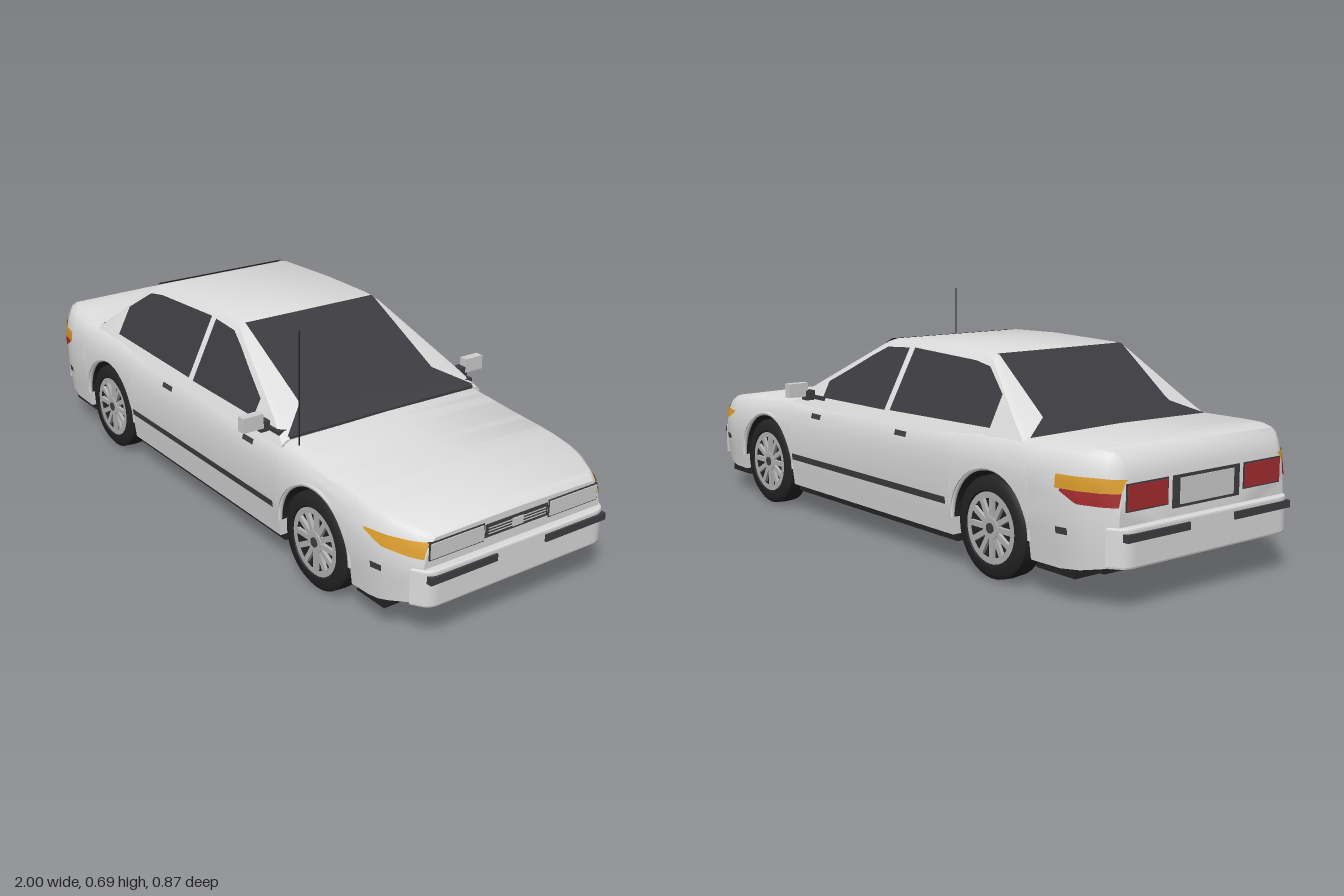
import * as THREE from 'three';
import { toCreasedNormals } from 'three/addons/utils/BufferGeometryUtils.js';

const mat = (name, color) => new THREE.MeshStandardMaterial({ name, color, side: THREE.DoubleSide });
const paint = mat('body paint', 0xdcdcdc), glass = mat('dark glass', 0x3c3b40), rubber = mat('black rubber', 0x242426);
const trim = mat('dark trim', 0x3f3f43), amber = mat('amber lens', 0xd99c2b), red = mat('red lens', 0xa62c30);
const alloy = mat('alloy', 0xb4b4b4), lens = mat('clear lens', 0xcfcfcf);

// Piecewise linear curve through [input, value] pairs
const curve = (pts) => (v) => {
  if (v <= pts[0][0]) return pts[0][1];
  for (let i = 1; i < pts.length; i++) {
    const [a, p] = pts[i - 1], [b, q] = pts[i];
    if (v <= b) return p + (q - p) * (v - a) / (b - a);
  }
  return pts[pts.length - 1][1];
};

// Body shape rules: top line, sill line, plan taper, shoulder and sill tuck
const topPts = [[-0.972, 0.33], [-0.96, 0.37], [-0.94, 0.39], [-0.9, 0.395], [-0.65, 0.392], [0, 0.382], [0.43, 0.37],
  [0.6, 0.354], [0.75, 0.344], [0.85, 0.33], [0.93, 0.312], [0.96, 0.303], [0.972, 0.292]];
const planPts = [[-0.972, 0.82], [-0.94, 0.89], [-0.88, 0.96], [-0.82, 0.99], [-0.7, 1], [0.7, 1], [0.82, 0.985],
  [0.88, 0.95], [0.94, 0.88], [0.972, 0.82]];
const top = curve(topPts), plan = curve(planPts);
const sill = curve([[-0.972, 0.115], [-0.85, 0.09], [0.85, 0.09], [0.972, 0.12]]);
const shoulder = curve([[0, 0.045], [0.01, 0.028], [0.035, 0.013], [0.07, 0.003], [0.11, 0]]);
const tuck = curve([[0.085, 0.014], [0.2, 0]]);
const sideZ = (x, y) => plan(x) * (0.376 - shoulder(top(x) - y) - tuck(y));

const wheelX = [-0.555, 0.595], axleY = 0.14, archR = 0.16;
function lowerEdge(x) {
  for (const c of wheelX) {
    const d = Math.abs(x - c);
    if (d <= archR + 1e-6) return axleY + Math.sqrt(Math.max(0, archR * archR - d * d));
  }
  return sill(x);
}

// Skin over cross-sections: each half ring is [z, y] from bottom centre to top centre
function loft(xs, half) {
  const pos = [], idx = [];
  let n = 0;
  for (const x of xs) {
    const h = half(x), ring = [...h, ...h.slice(1, -1).reverse().map(([z, y]) => [-z, y]), h[0]];
    n = ring.length;
    ring.forEach(([z, y]) => pos.push(x, y, z));
  }
  for (let i = 0; i < xs.length - 1; i++) for (let j = 0; j < n - 1; j++) {
    const a = i * n + j, b = a + n;
    idx.push(a, b, b + 1, a, b + 1, a + 1);
  }
  const last = (xs.length - 1) * n;
  for (let j = 1; j < n - 2; j++) idx.push(0, j, j + 1, last, last + j + 1, last + j);
  const g = new THREE.BufferGeometry();
  g.setAttribute('position', new THREE.Float32BufferAttribute(pos, 3));
  g.setIndex(idx);
  return toCreasedNormals(g, 0.6);
}

export function createModel() {
  const car = new THREE.Group();
  car.name = 'sedan';
  const add = (name, geo, material, parent = car) => {
    const m = new THREE.Mesh(geo, material);
    m.name = name;
    parent.add(m);
    return m;
  };
  // Box given by its limits
  const box = (name, material, x0, x1, y0, y1, z0, z1) => add(name,
    new THREE.BoxGeometry(x1 - x0, y1 - y0, Math.abs(z1 - z0)).translate((x0 + x1) / 2, (y0 + y1) / 2, (z0 + z1) / 2), material);
  const sides = (name, material, x0, x1, y0, y1, z0, z1) => {
    for (const s of [1, -1]) box(name, material, x0, x1, y0, y1, s * z0, s * z1);
  };
  // Thin skin on both body sides between a lower and an upper line
  const sidePatch = (name, material, x0, x1, lo, hi, off = 0.005) => {
    for (const s of [1, -1]) {
      const g = new THREE.PlaneGeometry(1, 1, 16, 4), p = g.attributes.position;
      for (let i = 0; i < p.count; i++) {
        const u = p.getX(i) + 0.5, x = x0 + (x1 - x0) * (s > 0 ? u : 1 - u);
        const y = lo(x) + (hi(x) - lo(x)) * (p.getY(i) + 0.5);
        p.setXYZ(i, x, y, s * (sideZ(x, y) + off));
      }
      g.computeVertexNormals();
      add(name, g, material);
    }
  };

  // Lower body with wheel arches
  const stations = [...topPts, ...planPts].map((p) => p[0]).filter((x) => wheelX.every((c) => Math.abs(x - c) > archR + 0.01));
  for (const c of wheelX) {
    stations.push(c - archR - 0.0005, c + archR + 0.0005);
    for (let i = 0; i <= 20; i++) stations.push(c + archR * Math.cos(i / 20 * Math.PI));
  }
  const xs = [...new Set(stations)].sort((a, b) => a - b);
  const rows = [1, 0.85, 0.7, 0.55, 0.4, 0.28, 0.18, 0.1, 0.04, 0];
  add('body', loft(xs, (x) => {
    const t = top(x), b = lowerEdge(x);
    const side = rows.map((f) => { const y = t - (t - b) * f; return [sideZ(x, y), y]; });
    return [[0, b], ...side, [0, t + 0.004]];
  }), paint);

  // Cabin with leaning sides
  const roofPts = [[-0.675, 0.385], [-0.6, 0.44], [-0.435, 0.572], [-0.4, 0.58], [-0.15, 0.588], [0.04, 0.584],
    [0.075, 0.574], [0.36, 0.42], [0.435, 0.372]];
  const roof = curve(roofPts);
  const cabinZ = (y) => 0.345 - (y - 0.385) * 0.51;
  add('cabin', loft(roofPts.map((p) => p[0]), (x) => {
    const y = roof(x), e = Math.min(0.01, y - 0.36);
    return [[0, 0.355], [cabinZ(0.355), 0.355], [cabinZ(y - e), y - e], [cabinZ(y) - 0.012, y], [0, y]];
  }), paint);

  // Windscreen and rear window: strips of [x, half width] lying on the cabin
  const screen = (name, pts) => {
    const pos = [], idx = [];
    pts.forEach(([x, w], i) => {
      pos.push(x, roof(x) + 0.005, w, x, roof(x) + 0.005, -w);
      if (i) idx.push(2 * i - 2, 2 * i, 2 * i + 1, 2 * i - 2, 2 * i + 1, 2 * i - 1);
    });
    const g = new THREE.BufferGeometry();
    g.setAttribute('position', new THREE.Float32BufferAttribute(pos, 3));
    g.setIndex(idx);
    g.computeVertexNormals();
    add(name, g, glass);
  };
  screen('windscreen', [[0.065, 0.233], [0.075, 0.233], [0.35, 0.24], [0.36, 0.25], [0.43, 0.335]]);
  screen('rearWindow', [[-0.672, 0.33], [-0.62, 0.24], [-0.6, 0.238], [-0.435, 0.233], [-0.425, 0.233]]);
  box('wiperTray', trim, 0.41, 0.435, 0.366, 0.379, -0.33, 0.33);

  // Side windows
  const windows = {
    rearSideWindow: [[-0.525, 0.4], [-0.525, 0.485], [-0.435, 0.548], [-0.37, 0.558], [-0.08, 0.568], [-0.075, 0.392]],
    frontSideWindow: [[-0.05, 0.39], [-0.055, 0.566], [0.05, 0.56], [0.11, 0.53], [0.19, 0.485], [0.28, 0.437], [0.28, 0.388]],
  };
  for (const [name, pts] of Object.entries(windows)) for (const s of [1, -1]) {
    const g = new THREE.ShapeGeometry(new THREE.Shape(pts.map(([x, y]) => new THREE.Vector2(s * x, y))));
    if (s < 0) g.rotateY(Math.PI);
    const p = g.attributes.position;
    for (let i = 0; i < p.count; i++) p.setZ(i, s * (cabinZ(p.getY(i)) + 0.004));
    g.computeVertexNormals();
    add(name, g, glass);
  }

  // Door mirrors and aerial
  sides('mirrorBracket', trim, 0.27, 0.41, 0.378, 0.39, 0.325, 0.35);
  sides('mirrorArm', trim, 0.33, 0.36, 0.375, 0.405, 0.345, 0.375);
  sides('mirror', lens, 0.335, 0.362, 0.387, 0.43, 0.367, 0.433);
  add('aerial', new THREE.CylinderGeometry(0.0018, 0.0018, 0.33, 6).translate(0.47, 0.525, 0.325), rubber);

  // Side trim, handles, markers and wrapped corner lamps
  const k = (v) => () => v;
  sidePatch('sideMoulding', trim, -0.38, 0.42, k(0.175), k(0.195));
  sidePatch('rearHandle', trim, -0.19, -0.135, k(0.332), k(0.347));
  sidePatch('frontHandle', trim, 0.26, 0.312, k(0.322), k(0.337));
  sidePatch('rearMarker', trim, -0.855, -0.82, k(0.182), k(0.2));
  sidePatch('frontMarker', trim, 0.84, 0.875, k(0.182), k(0.2));
  sidePatch('turnLamp', amber, 0.81, 0.972, curve([[0.81, 0.278], [0.87, 0.252], [0.972, 0.24]]), k(0.283));
  sidePatch('rearTurnLamp', amber, -0.972, -0.815, k(0.296), curve([[-0.972, 0.328], [-0.94, 0.332], [-0.815, 0.33]]));
  sidePatch('rearLamp', red, -0.972, -0.83, curve([[-0.972, 0.262], [-0.88, 0.264], [-0.83, 0.29]]), k(0.296));

  // Bumpers with rounded corners
  for (const s of [1, -1]) {
    const w = 0.31, sh = new THREE.Shape();
    sh.moveTo(0.95, -0.325).lineTo(0.972, -w).quadraticCurveTo(0.99, -0.3, 0.99, -0.27);
    sh.lineTo(0.99, 0.27).quadraticCurveTo(0.99, 0.3, 0.972, w).lineTo(0.95, 0.325);
    const g = new THREE.ExtrudeGeometry(sh, { depth: 0.09, bevelSize: 0.004, bevelThickness: 0.006, bevelSegments: 2 });
    g.rotateX(-Math.PI / 2).translate(0, 0.117, 0);
    if (s < 0) g.rotateY(Math.PI);
    add(s > 0 ? 'frontBumper' : 'rearBumper', g, paint);
    for (const z of [1, -1]) box('bumperStrip', trim, s > 0 ? 0.97 : -1, s > 0 ? 1 : -0.97, 0.18, 0.2, z * 0.085, z * 0.306);
  }

  // Nose: headlamps and slatted grille
  sides('headlampFrame', trim, 0.965, 0.974, 0.233, 0.283, 0.112, 0.293);
  sides('headlamp', lens, 0.965, 0.977, 0.237, 0.279, 0.116, 0.289);
  box('grille', trim, 0.965, 0.975, 0.241, 0.277, -0.108, 0.108);
  for (const y of [0.25, 0.258, 0.266]) box('grilleSlat', alloy, 0.965, 0.978, y, y + 0.002, -0.1, 0.1);
  box('grilleCentre', lens, 0.965, 0.979, 0.248, 0.27, -0.018, 0.018);

  // Tail: lamps and number plate
  sides('tailLampFrame', trim, -0.975, -0.965, 0.248, 0.318, 0.142, 0.288);
  sides('tailLamp', red, -0.978, -0.965, 0.252, 0.314, 0.146, 0.284);
  box('plateRecess', trim, -0.975, -0.965, 0.235, 0.318, -0.125, 0.125);
  box('numberPlate', lens, -0.978, -0.965, 0.243, 0.31, -0.1, 0.1);

  // Dark underside
  box('underbody', rubber, -0.88, 0.88, 0.07, 0.29, -0.265, 0.265);
  for (const [a, b] of [[-0.86, -0.718], [-0.392, 0.432], [0.758, 0.87]]) box('floor', rubber, a, b, 0.068, 0.098, -0.345, 0.345);

  // Wheels with liners and arch lips
  const tyre = [[0.09, -0.04], [0.125, -0.04], [0.138, -0.03], [0.14, 0], [0.138, 0.03], [0.125, 0.04], [0.1, 0.04], [0.096, 0.026], [0, 0.026]];
  for (const c of wheelX) for (const s of [1, -1]) {
    const lip = new THREE.TorusGeometry(archR, 0.007, 6, 28, Math.PI).translate(c, axleY, s * 0.366);
    add('archLip', lip, paint);
    add('wheelLiner', new THREE.CylinderGeometry(0.157, 0.157, 0.12, 28, 1, true, Math.PI / 2, Math.PI)
      .rotateX(Math.PI / 2).translate(c, axleY, s * 0.307), rubber);
    const wheel = new THREE.Group();
    wheel.name = 'wheel';
    wheel.position.set(c, axleY, s * 0.326);
    if (s < 0) wheel.rotation.y = Math.PI;
    car.add(wheel);
    add('tyre', toCreasedNormals(new THREE.LatheGeometry(tyre.map(([r, y]) => new THREE.Vector2(r, y)), 36).rotateX(Math.PI / 2), 0.7), rubber, wheel);
    add('rim', new THREE.RingGeometry(0.08, 0.097, 36).translate(0, 0, 0.037), alloy, wheel);
    add('hub', new THREE.CylinderGeometry(0.03, 0.034, 0.014, 20).rotateX(Math.PI / 2).translate(0, 0, 0.031), alloy, wheel);
    add('hubCap', new THREE.CylinderGeometry(0.014, 0.014, 0.004, 16).rotateX(Math.PI / 2).translate(0, 0, 0.039), trim, wheel);
    for (let i = 0; i < 12; i++) {
      add('spoke', new THREE.BoxGeometry(0.056, 0.015, 0.01).translate(0.056, 0, 0.031).rotateZ(i * Math.PI / 6), alloy, wheel);
    }
  }
  return car;
}
